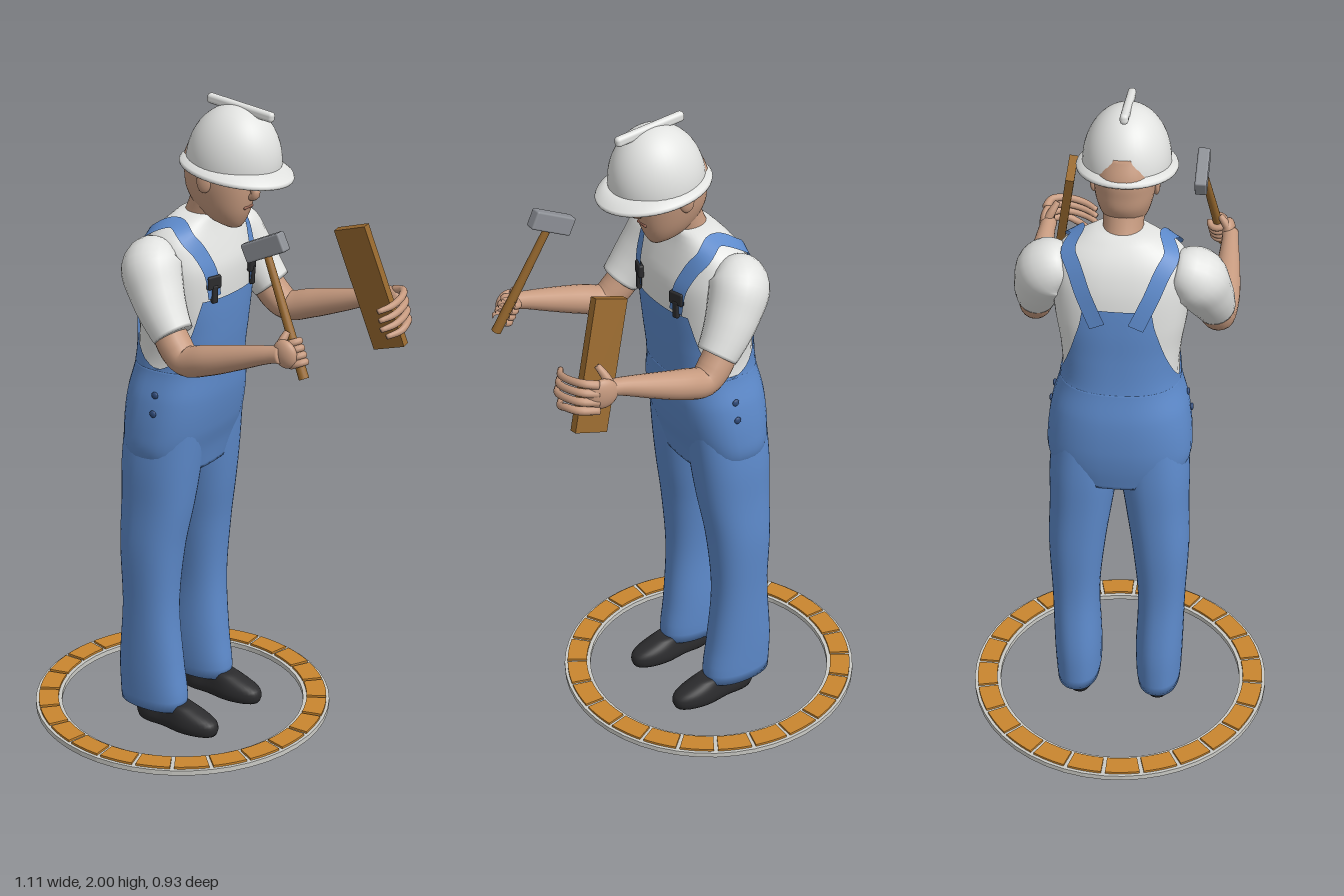
import * as THREE from 'three';
import { mergeVertices } from 'three/addons/utils/BufferGeometryUtils.js';
import { RoundedBoxGeometry } from 'three/addons/geometries/RoundedBoxGeometry.js';

const V = (x, y, z) => new THREE.Vector3(x, y, z);
const rad = THREE.MathUtils.degToRad;

// Smooth lookup in rows of [key, value, value, ...]
function at(rows, k) {
  const n = rows.length;
  let i = 0;
  while (i < n - 2 && k > rows[i + 1][0]) i++;
  const a = rows[i], b = rows[i + 1], p = rows[Math.max(i - 1, 0)], q = rows[Math.min(i + 2, n - 1)];
  const h = b[0] - a[0], t = THREE.MathUtils.clamp((k - a[0]) / h, 0, 1);
  return a.slice(1).map((_, j) => {
    const c = j + 1, m0 = (b[c] - p[c]) / (b[0] - p[0]) * h, m1 = (q[c] - a[c]) / (q[0] - a[0]) * h;
    const t2 = t * t, t3 = t2 * t;
    return (2 * t3 - 3 * t2 + 1) * a[c] + (t3 - 2 * t2 + t) * m0 + (3 * t2 - 2 * t3) * b[c] + (t3 - t2) * m1;
  });
}

// Smooth surface from a function of grid steps
function grid(nu, nv, fn) {
  const pos = [], idx = [];
  for (let j = 0; j <= nv; j++) for (let i = 0; i <= nu; i++) pos.push(...fn(i / nu, j / nv, j).toArray());
  for (let j = 0; j < nv; j++) for (let i = 0; i < nu; i++) {
    const a = j * (nu + 1) + i, b = a + nu + 1;
    idx.push(a, b, a + 1, a + 1, b, b + 1);
  }
  const g = new THREE.BufferGeometry();
  g.setAttribute('position', new THREE.Float32BufferAttribute(pos, 3));
  g.setIndex(idx);
  const m = mergeVertices(g, 1e-5);
  m.computeVertexNormals();
  return m;
}

// Point on a rounded cross-section; rows are [y, cx, cz, rx, rz]
function ringPoint(rows, y, a, p = 0.82, grow = 0) {
  const [cx, cz, rx, rz] = at(rows, y), c = Math.cos(a), s = Math.sin(a);
  return V(cx + (rx + grow) * Math.sign(c) * Math.abs(c) ** p, y, cz + (rz + grow) * Math.sign(s) * Math.abs(s) ** p);
}

// Closed upright body through cross-sections
function loft(rows, y0, y1, { nv = 30, p, grow } = {}) {
  return grid(40, nv + 2, (u, v, j) => {
    const y = y0 + (y1 - y0) * THREE.MathUtils.clamp((j - 1) / nv, 0, 1);
    if (j === 0 || j === nv + 2) { const [cx, cz] = at(rows, y); return V(cx, y, cz); }
    return ringPoint(rows, y, u * Math.PI * 2, p, grow);
  });
}

// Round limb along points [x, y, z, radius], closed at both ends
function limb(pts, nu = 16, nv = 24) {
  const curve = new THREE.CatmullRomCurve3(pts.map(p => V(...p)));
  const f = curve.computeFrenetFrames(nv);
  const radii = pts.map((p, i) => [i / (pts.length - 1), p[3]]);
  return grid(nu, nv + 2, (u, v, j) => {
    const k = THREE.MathUtils.clamp(j - 1, 0, nv), c = curve.getPoint(k / nv);
    if (j === 0 || j === nv + 2) return c;
    const r = at(radii, k / nv)[0], a = -u * Math.PI * 2;
    return c.addScaledVector(f.normals[k], r * Math.cos(a)).addScaledVector(f.binormals[k], r * Math.sin(a));
  });
}

const TORSO = [
  [0.86, -0.08, 0, 0.11, 0.17], [0.93, -0.078, 0, 0.124, 0.206], [1.0, -0.07, 0, 0.137, 0.21], [1.1, -0.058, 0, 0.143, 0.198],
  [1.2, -0.045, 0, 0.135, 0.172], [1.3, -0.035, 0, 0.135, 0.176], [1.4, -0.03, 0, 0.135, 0.192], [1.5, -0.025, 0, 0.128, 0.2],
  [1.56, -0.025, 0, 0.11, 0.195], [1.6, -0.022, 0, 0.092, 0.175], [1.63, -0.015, 0, 0.075, 0.13], [1.655, -0.005, 0, 0.06, 0.075]];
const LEG = [
  [0.06, -0.1, 0.128, 0.112, 0.066], [0.1, -0.1, 0.127, 0.114, 0.07], [0.2, -0.107, 0.128, 0.107, 0.073],
  [0.4, -0.105, 0.133, 0.09, 0.073], [0.6, -0.1, 0.128, 0.1, 0.087], [0.75, -0.088, 0.115, 0.113, 0.096],
  [0.88, -0.08, 0.106, 0.122, 0.104], [1.04, -0.066, 0.1, 0.125, 0.095]];
const SHOE = [[0, -0.015, 0.125, 0.14, 0.048], [0.02, -0.015, 0.125, 0.146, 0.053], [0.045, -0.02, 0.125, 0.138, 0.05], [0.08, -0.06, 0.125, 0.09, 0.042]];
const HEAD = [
  [1.62, 0.105, 0, 0.022, 0.022], [1.635, 0.09, 0, 0.047, 0.042], [1.67, 0.072, 0, 0.08, 0.064], [1.72, 0.06, 0, 0.102, 0.08],
  [1.77, 0.058, 0, 0.107, 0.088], [1.82, 0.058, 0, 0.108, 0.088], [1.88, 0.06, 0, 0.085, 0.068]];

export function createModel() {
  const model = new THREE.Group();
  const mat = (name, color) => Object.assign(new THREE.MeshStandardMaterial({ color }), { name });
  const denim = mat('denim blue', 0x5d8acb), white = mat('white', 0xe2e3e1), skin = mat('skin', 0xc69a7f);
  const black = mat('black', 0x2b2b2d), orange = mat('orange brick', 0xc9862f), wood = mat('wood', 0x98692f);
  const steel = mat('steel', 0x8d9096), mortar = mat('mortar', 0xcbcbc6), lip = mat('lips', 0x9a6655), dark = mat('dark blue', 0x2f4a78);
  denim.side = THREE.DoubleSide;
  const add = (name, geo, m, pos = [0, 0, 0], rot = [0, 0, 0], parent = model) => {
    const mesh = new THREE.Mesh(geo, m);
    mesh.name = name;
    mesh.position.set(...pos);
    mesh.rotation.set(...rot);
    parent.add(mesh);
    return mesh;
  };
  const ball = (name, m, pos, size, rot) => add(name, new THREE.SphereGeometry(1, 20, 14), m, pos, rot).scale.set(...size);

  // Brick circle on the ground
  const base = [[0.382, 0.008], [0.465, 0.008], [0.465, 0.024], [0.382, 0.024], [0.382, 0.008]].map(p => new THREE.Vector2(...p));
  const baseGeo = new THREE.LatheGeometry(base, 48).toNonIndexed();
  baseGeo.computeVertexNormals();
  add('mortarRing', baseGeo, mortar, [-0.08, 0, 0]);
  const half = Math.PI / 24 - 0.014;
  const brick = new THREE.Shape();
  brick.absarc(0, 0, 0.455, -half, half, false);
  brick.absarc(0, 0, 0.393, half, -half, true);
  const brickGeo = new THREE.ExtrudeGeometry(brick, { depth: 0.012, bevelEnabled: false, curveSegments: 4 }).rotateX(-Math.PI / 2);
  for (let i = 0; i < 24; i++) add('brick', brickGeo, orange, [-0.08, 0.019, 0], [0, (i + 0.5) * Math.PI / 12, 0]);

  // Shirt and overalls
  add('shirt', loft(TORSO, 1.15, 1.655), white);
  add('overallsHips', loft(TORSO, 0.86, 1.2, { grow: 0.005 }), denim);
  const panel = (name, edge, y0, y1, mid) => add(name, grid(28, 20, (u, v) => {
    const y = y0 + (y1 - y0) * v;
    return ringPoint(TORSO, y, mid + (u * 2 - 1) * rad(at(edge, y)[0]), 0.82, 0.006);
  }), denim);
  panel('bib', [[1.195, 92], [1.23, 72], [1.3, 56], [1.42, 38]], 1.195, 1.42, 0);
  panel('backPanel', [[1.195, 92], [1.23, 70], [1.3, 48], [1.4, 30], [1.47, 24]], 1.195, 1.47, Math.PI);

  // Strap hugging the torso, route given as height and angle
  const route = new THREE.CatmullRomCurve3([[1.43, 25], [1.5, 28], [1.56, 36], [1.6, 52], [1.633, 88], [1.61, 122],
    [1.57, 146], [1.5, 158], [1.42, 168]].map(([y, a]) => V(y, a / 100, 0)));
  const strap = s => grid(2, 50, (u, v) => {
    const on = (t, da = 0, dy = 0) => { const q = route.getPoint(t); return ringPoint(TORSO, q.x + dy, s * rad(q.y * 100) + da); };
    const c = on(v), t = on(Math.min(v + 0.01, 1)).sub(on(Math.max(v - 0.01, 0))).normalize();
    const n = on(v, 0, 0.004).sub(on(v, 0, -0.004)).cross(on(v, 0.02).sub(on(v, -0.02))).normalize();
    return c.addScaledVector(n, 0.01).addScaledVector(t.cross(n).normalize(), (u - 0.5) * 0.048);
  });

  for (const s of [1, -1]) {
    const side = s > 0 ? 'right' : 'left';
    const m = pts => pts.map(([x, y, z, r]) => [x, y, z * s, r]);
    const mirrored = rows => rows.map(([y, cx, cz, rx, rz]) => [y, cx, cz * s, rx, rz]);
    add(side + 'TrouserLeg', loft(mirrored(LEG), 0.06, 1.04, { p: 0.88 }), denim);

    // Shoe with a pinched waist and a lower toe
    const shoe = loft(mirrored(SHOE), 0, 0.08, { nv: 10, p: 0.85 }), P = shoe.attributes.position;
    for (let i = 0; i < P.count; i++) {
      const x = P.getX(i), z = P.getZ(i) - 0.125 * s;
      P.setZ(i, 0.125 * s + z * (1 - 0.22 * Math.exp(-(((x + 0.05) / 0.05) ** 2))));
    }
    shoe.computeVertexNormals();
    add(side + 'Shoe', shoe, black);

    // Strap, buckle and side buttons
    add(side + 'Strap', strap(s), denim);
    const b = ringPoint(TORSO, 1.465, s * rad(26));
    add(side + 'Buckle', new RoundedBoxGeometry(0.016, 0.04, 0.048, 2, 0.005), black, [b.x + 0.008, 1.475, b.z], [0, -0.3 * s, 0]);
    add(side + 'BuckleHook', new RoundedBoxGeometry(0.016, 0.055, 0.02, 2, 0.005), black, [b.x + 0.01, 1.44, b.z], [0, -0.3 * s, 0]);
    for (const y of [1.07, 1.125]) ball(side + 'Button', dark, [-0.04, y, s * (at(TORSO, y)[3] + 0.006)], [0.011, 0.011, 0.006]);

    // Sleeve and arm
    add(side + 'Sleeve', limb(m([[-0.045, 1.545, 0.15, 0.06], [-0.04, 1.53, 0.205, 0.088], [0.0, 1.46, 0.238, 0.079],
      [0.04, 1.4, 0.255, 0.068], [0.072, 1.358, 0.263, 0.06]]), 24), white);
    add(side + 'Arm', limb(m([[0.02, 1.43, 0.25, 0.045], [0.075, 1.335, 0.266, 0.05], [0.12, 1.297, 0.275, 0.046], [0.2, 1.315, 0.283, 0.044],
      [0.3, 1.345, 0.283, 0.036], [0.4, 1.375, 0.28, 0.026], [0.44, 1.382, 0.278, 0.025]]), 20, 32), skin);

    // Ear, eye and brow
    ball(side + 'Ear', skin, [0.06, 1.765, 0.088 * s], [0.022, 0.034, 0.011], [0, 0.25 * s, 0]);
    add(side + 'Eye', new RoundedBoxGeometry(0.008, 0.009, 0.028, 2, 0.003), black, [0.153, 1.757, 0.036 * s], [0, -0.35 * s, 0]);
    add(side + 'Brow', new RoundedBoxGeometry(0.009, 0.007, 0.042, 2, 0.003), black, [0.155, 1.774, 0.037 * s], [0.18 * -s, -0.35 * s, 0]);
  }

  // Head and neck
  add('head', loft(HEAD, 1.62, 1.88, { p: 0.92 }), skin);
  add('neck', limb([[-0.02, 1.58, 0, 0.064], [0.005, 1.64, 0, 0.058], [0.03, 1.7, 0, 0.06], [0.045, 1.76, 0, 0.06]], 24), skin);
  add('nose', limb([[0.155, 1.77, 0, 0.009], [0.17, 1.745, 0, 0.012], [0.178, 1.725, 0, 0.014], [0.16, 1.712, 0, 0.011]], 12, 10), skin);
  add('mouth', new RoundedBoxGeometry(0.012, 0.009, 0.045, 2, 0.004), lip, [0.152, 1.684, 0]);

  // Hard hat, tilted forward
  const hat = new THREE.Group();
  hat.name = 'hardHat';
  hat.position.set(0.104, 1.813, 0);
  hat.rotation.z = -0.13;
  model.add(hat);
  add('dome', new THREE.SphereGeometry(1, 40, 20, 0, Math.PI * 2, 0, Math.PI / 2), white, [0, 0, 0], [0, 0, 0], hat).scale.set(0.142, 0.167, 0.127);
  const brimProfile = [[0.02, -0.004], [0.8, -0.012], [1, -0.024], [1.01, -0.018], [0.99, -0.012], [0.8, 0.01], [0.02, 0.012]];
  add('brim', new THREE.LatheGeometry(brimProfile.map(p => new THREE.Vector2(...p)), 48), white, [0.012, 0, 0], [0, 0, 0], hat).scale.set(0.172, 1, 0.145);
  add('ridge', new RoundedBoxGeometry(0.222, 0.03, 0.024, 4, 0.011), white, [0.126, 1.971, 0], [0, 0, -0.13]);

  // Hammer in the right hand
  const butt = V(0.5, 1.315, 0.252), top = V(0.335, 1.655, 0.198), up = top.clone().sub(butt).normalize();
  const handle = add('hammerHandle', new THREE.CylinderGeometry(0.011, 0.015, butt.distanceTo(top), 16), wood, butt.clone().lerp(top, 0.5).toArray());
  handle.quaternion.setFromUnitVectors(V(0, 1, 0), up);
  add('hammerHead', new RoundedBoxGeometry(0.135, 0.056, 0.036, 2, 0.006), steel, [0.335, 1.652, 0.197], [0, 0, 0.436]);
  ball('rightPalm', skin, [0.45, 1.385, 0.272], [0.036, 0.042, 0.021], [0, 0, 0.4]);
  const curl = new THREE.TorusGeometry(0.023, 0.0105, 10, 20, 4.9).rotateX(Math.PI / 2);
  for (let i = 0; i < 4; i++) {
    const finger = add('rightFinger', curl, skin, butt.clone().addScaledVector(up, 0.045 + i * 0.02).toArray());
    finger.quaternion.setFromUnitVectors(V(0, 1, 0), up);
  }
  add('rightThumb', limb([[0.43, 1.395, 0.275, 0.013], [0.435, 1.42, 0.26, 0.012], [0.44, 1.44, 0.245, 0.009]], 12, 10), skin);

  // Plank in the left hand
  const plank = add('plank', new THREE.BoxGeometry(0.105, 0.385, 0.026), wood, [0.435, 1.428, -0.227]);
  const long = V(-0.11, 0.365, 0.06).normalize(), wide = V(0.1, 0.03, 0).normalize();
  const thick = wide.clone().cross(long).normalize();
  plank.quaternion.setFromRotationMatrix(new THREE.Matrix4().makeBasis(long.clone().cross(thick), long, thick));
  ball('leftPalm', skin, [0.462, 1.375, -0.287], [0.048, 0.046, 0.02], [0, -0.15, -0.2]);
  for (let i = 0; i < 4; i++) {
    const y = 1.415 - i * 0.027, x = i * 0.006, tip = i === 3 ? 0.025 : 0;
    add('leftFinger', limb([[0.475, y - 0.005, -0.292, 0.013], [0.512 + x, y + 0.004, -0.278, 0.012], [0.532 + x, y, -0.235, 0.011],
      [0.53 + x, y - 0.012, -0.18 - tip, 0.0105], [0.508 + x, y - 0.022, -0.14 - tip, 0.008]], 12, 20), skin);
  }
  add('leftThumb', limb([[0.43, 1.385, -0.285, 0.014], [0.44, 1.415, -0.27, 0.013], [0.455, 1.445, -0.252, 0.009]], 12, 10), skin);
  return model;
}
